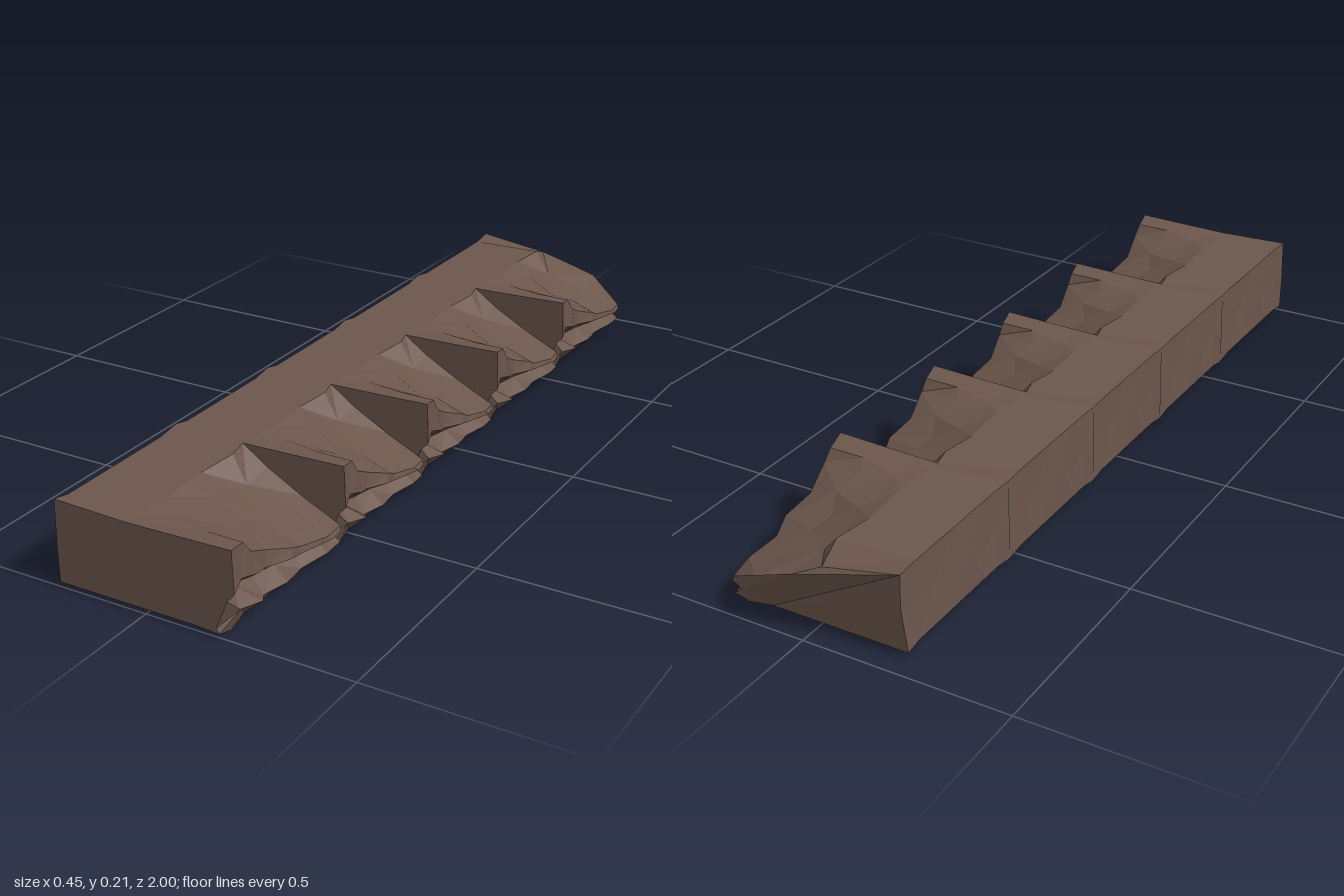
import * as THREE from 'three';

// Small seeded generator for the chipped surface
function seeded(seed) {
  let s = seed;
  return () => (s = (s * 16807) % 2147483647) / 2147483647;
}

// One rock block: cross-sections from its tall front (u = 0) to its broken-down rear (u = 1).
// u, top heights at three x steps, edge height, edge x, lip y, notch x, notch y, ledge x, ledge y
const SECTIONS = [
  [0.00, 0.203, 0.204, 0.206, 0.209, 0.220, 0.110, 0.205, 0.090, 0.175, 0.020],
  [0.09, 0.202, 0.200, 0.199, 0.199, 0.210, 0.125, 0.168, 0.090, 0.206, 0.052],
  [0.22, 0.203, 0.196, 0.184, 0.170, 0.214, 0.112, 0.160, 0.076, 0.222, 0.046],
  [0.36, 0.201, 0.188, 0.160, 0.133, 0.200, 0.098, 0.163, 0.062, 0.194, 0.030],
  [0.50, 0.203, 0.180, 0.143, 0.108, 0.217, 0.088, 0.168, 0.056, 0.213, 0.034],
  [0.66, 0.200, 0.163, 0.122, 0.085, 0.206, 0.070, 0.177, 0.048, 0.201, 0.028],
  [0.84, 0.203, 0.150, 0.105, 0.072, 0.219, 0.060, 0.187, 0.044, 0.214, 0.028],
  [1.00, 0.203, 0.160, 0.112, 0.066, 0.208, 0.054, 0.188, 0.040, 0.208, 0.024],
];

// Worn nose of the last block: how far the three inner top points move in y and z
const NOSE = [[-0.025, -0.015], [-0.008, -0.036], [0.012, -0.043]];

function blockGeometry(length, brokenEnd) {
  const rand = seeded(71);
  const wob = (a) => (rand() - 0.5) * 2 * a;
  const rings = SECTIONS.map(([u, yA, yB, yC, yE, xE, yL, xN, yN, xG, yG], i) => {
    const end = i === 0 || i === SECTIONS.length - 1;
    const k = end ? 0 : 1;
    const left = end ? -0.222 : -0.216;
    const outline = [
      [left, 0.012],
      [left + 0.003 + wob(0.004), 0.1 + wob(0.03)],
      [left + 0.002, end ? 0.208 : 0.204],
      [-0.04 + k * wob(0.015), yA],
      [0.022 + k * wob(0.012), yB],
      [0.11 + k * wob(0.02), yC],
      [xE, yE],
      [xE + 0.003, yL],
      [xN, yN],
      [xG, yG],
      [0.183 + k * wob(0.012), i % 3 === 1 ? 0.001 : 0.009],
      [0.12, 0.012],
    ];
    return outline.map(([x, y], j) => {
      const skew = x > -0.1 ? k * wob(0.02) : 0;
      const p = new THREE.Vector3(x, y, -u * length + skew);
      // the last block overhangs an undercut base
      if (brokenEnd && u === 1) {
        const nose = NOSE[j - 3];
        if (nose) p.add(new THREE.Vector3(0, ...nose));
        if (y < 0.015) p.z += 0.015;
      }
      return p;
    });
  });

  const n = rings[0].length;
  const pos = [];
  const tri = (a, b, c) => pos.push(...a.toArray(), ...b.toArray(), ...c.toArray());

  // Skin between neighbouring sections, diagonals alternating for a chipped look
  for (let i = 0; i < rings.length - 1; i++) {
    for (let j = 0; j < n; j++) {
      const a = rings[i][j], b = rings[i][(j + 1) % n];
      const c = rings[i + 1][j], d = rings[i + 1][(j + 1) % n];
      if ((i + j) % 2) { tri(a, b, c); tri(b, d, c); }
      else { tri(a, b, d); tri(a, d, c); }
    }
  }

  // End caps
  const cap = (ring, facing) => {
    const flat = ring.map((p) => new THREE.Vector2(p.x, p.y));
    for (const [a, b, c] of THREE.ShapeUtils.triangulateShape(flat, [])) {
      const area = THREE.ShapeUtils.area([flat[a], flat[b], flat[c]]);
      if (area * facing > 0) tri(ring[a], ring[b], ring[c]);
      else tri(ring[a], ring[c], ring[b]);
    }
  };
  cap(rings[0], 1);
  cap(rings[rings.length - 1], -1);

  const g = new THREE.BufferGeometry();
  g.setAttribute('position', new THREE.Float32BufferAttribute(pos, 3));
  g.computeVertexNormals();
  return g;
}

export function createModel() {
  const model = new THREE.Group();
  model.name = 'rockLedge';
  const rock = new THREE.MeshStandardMaterial({ color: 0x6b564c, flatShading: true });
  rock.name = 'brown rock';

  // Five blocks in a row, each starting where the one before ends
  const starts = [1.0, 0.58, 0.21, -0.15, -0.54, -0.957];
  for (let i = 0; i < 5; i++) {
    const block = new THREE.Mesh(blockGeometry(starts[i] - starts[i + 1], i === 4), rock);
    block.name = 'rockBlock' + (i + 1);
    block.position.z = starts[i];
    model.add(block);
  }
  return model;
}
